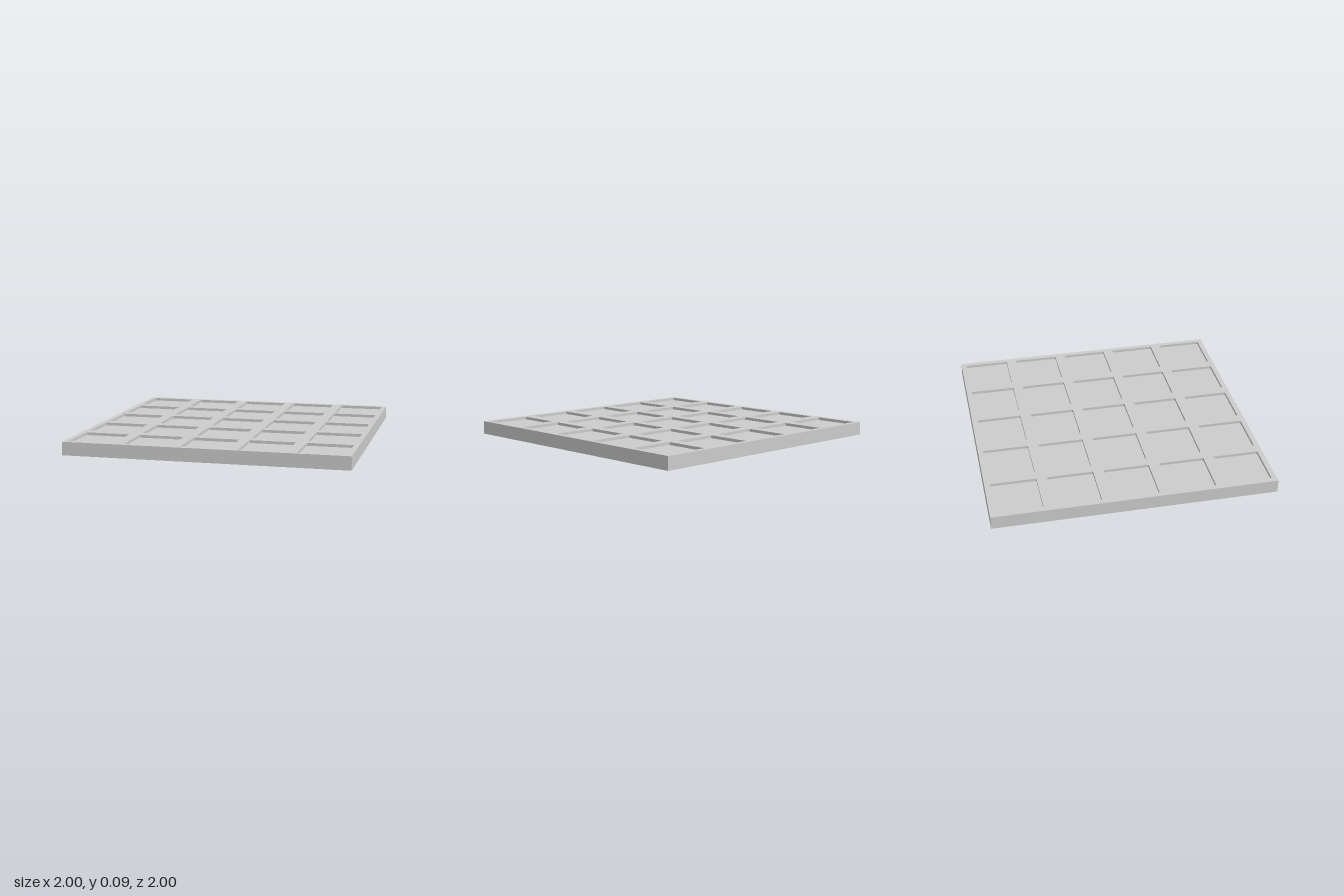
import * as THREE from 'three';

const HEIGHT = 0.095, DEPTH = 0.02, HALF = 1;
const COUNT = 5, PITCH = 0.4, POCKET = 0.163, RADIUS = 0.008;

// Square outline with slightly rounded corners, counter-clockwise
function pocketPoints(cx, cy) {
  const points = [];
  const c = POCKET - RADIUS;
  [[1, 1], [-1, 1], [-1, -1], [1, -1]].forEach(([sx, sy], corner) => {
    for (let i = 0; i <= 3; i++) {
      const a = (corner + i / 3) * Math.PI / 2;
      points.push(new THREE.Vector2(
        cx + sx * c + RADIUS * Math.cos(a),
        cy + sy * c + RADIUS * Math.sin(a)));
    }
  });
  return points;
}

// Flat upward-facing sheet at height y
function sheet(shape, y) {
  return new THREE.ShapeGeometry(shape).rotateX(-Math.PI / 2).translate(0, y, 0);
}

// Inward-facing walls of a pocket
function wallGeometry(points) {
  const bottom = HEIGHT - DEPTH, position = [];
  points.forEach((a, i) => {
    const b = points[(i + 1) % points.length];
    position.push(a.x, bottom, -a.y, a.x, HEIGHT, -a.y, b.x, HEIGHT, -b.y);
    position.push(a.x, bottom, -a.y, b.x, HEIGHT, -b.y, b.x, bottom, -b.y);
  });
  const geometry = new THREE.BufferGeometry();
  geometry.setAttribute('position', new THREE.Float32BufferAttribute(position, 3));
  geometry.computeVertexNormals();
  return geometry;
}

export function createModel() {
  const model = new THREE.Group();
  model.name = 'pocketedTray';
  const material = new THREE.MeshStandardMaterial({ color: 0xcccccc });
  const add = (name, geometry, parent = model) => {
    const mesh = new THREE.Mesh(geometry, material);
    mesh.name = name;
    parent.add(mesh);
  };

  // Sides and underside: a box without its top face
  const body = new THREE.BoxGeometry(2 * HALF, HEIGHT, 2 * HALF).translate(0, HEIGHT / 2, 0);
  const index = Array.from(body.index.array);
  index.splice(12, 6);
  body.setIndex(index);
  body.clearGroups();
  add('trayBody', body);

  // Grid of shallow pockets, each cut out of the top face
  const top = new THREE.Shape([
    new THREE.Vector2(-HALF, -HALF), new THREE.Vector2(HALF, -HALF),
    new THREE.Vector2(HALF, HALF), new THREE.Vector2(-HALF, HALF)]);
  for (let row = 0; row < COUNT; row++) {
    for (let col = 0; col < COUNT; col++) {
      const offset = (COUNT - 1) / 2;
      const points = pocketPoints((col - offset) * PITCH, (row - offset) * PITCH);
      top.holes.push(new THREE.Path(points));
      const pocket = new THREE.Group();
      pocket.name = 'pocket';
      add('pocketWalls', wallGeometry(points), pocket);
      add('pocketFloor', sheet(new THREE.Shape(points), HEIGHT - DEPTH), pocket);
      model.add(pocket);
    }
  }
  add('trayTop', sheet(top, HEIGHT));

  return model;
}
